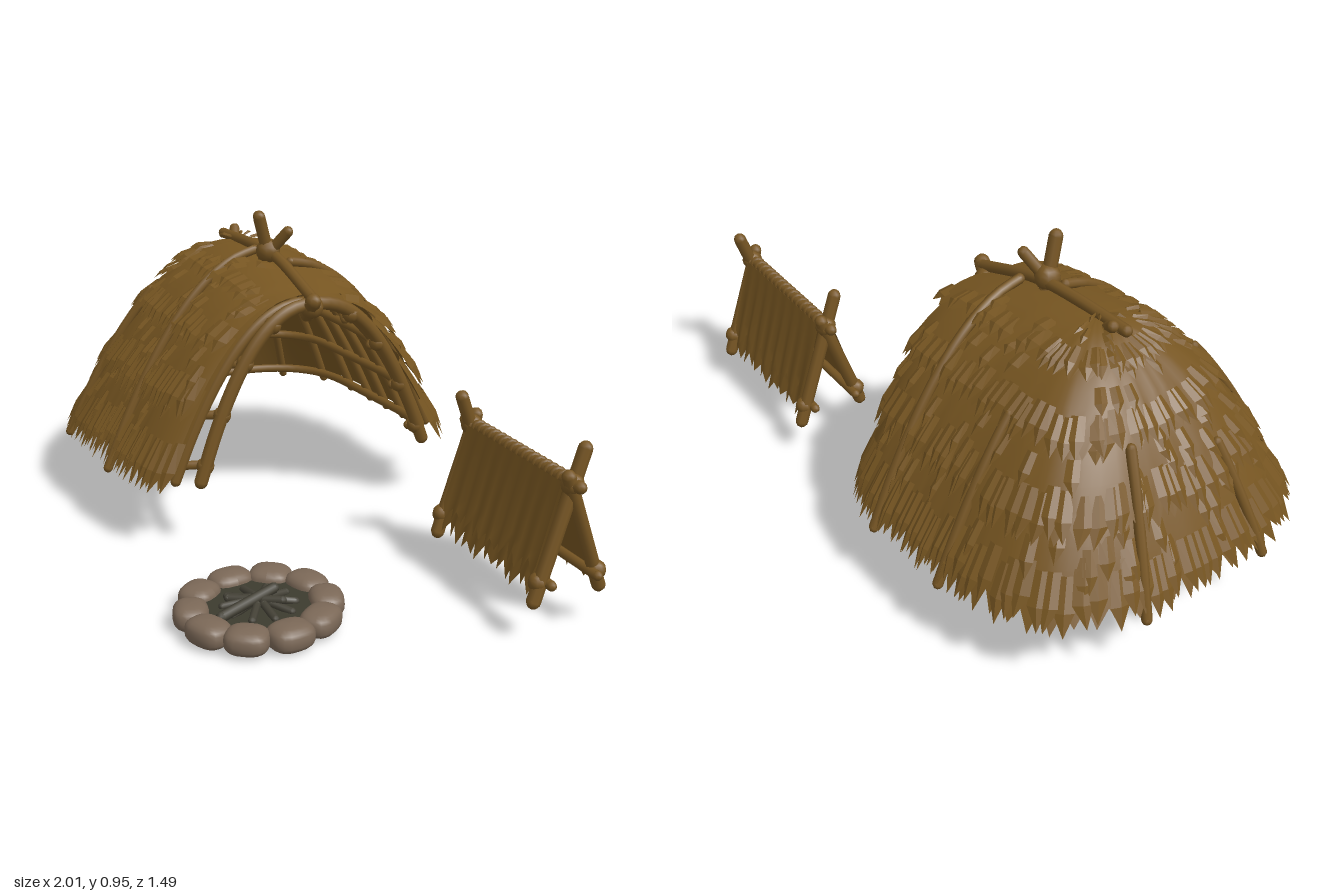
import * as THREE from 'three';
import { mergeGeometries } from 'three/addons/utils/BufferGeometryUtils.js';

const V = (x, y, z) => new THREE.Vector3(x, y, z);
const mat = (name, color, side = THREE.FrontSide) => {
  const m = new THREE.MeshStandardMaterial({ color, side });
  m.name = name;
  return m;
};

export function createModel() {
  const thatch = mat('thatch', 0x765521, THREE.DoubleSide);
  const wood = mat('wood', 0x765523);
  const stone = mat('stone', 0x7b6857);
  const ash = mat('ash', 0x3c3b2f);
  const charred = mat('charred wood', 0x444136);
  let seed = 7;
  const rnd = () => (seed = (seed * 16807) % 2147483647) / 2147483647;

  const add = (parent, name, geo, m) => {
    const mesh = new THREE.Mesh(geo, m);
    mesh.name = name;
    parent.add(mesh);
    return mesh;
  };
  const group = (parent, name) => {
    const g = new THREE.Group();
    g.name = name;
    parent.add(g);
    return g;
  };
  // Round pole along points, with closed ends
  const pole = (pts, r, segs = 24) => {
    const tube = new THREE.TubeGeometry(new THREE.CatmullRomCurve3(pts), pts.length > 2 ? segs : 1, r, 8);
    const ends = [pts[0], pts[pts.length - 1]].map(p =>
      new THREE.SphereGeometry(r, 8, 6).translate(p.x, p.y, p.z));
    return mergeGeometries([tube, ...ends]);
  };
  const knot = (p, r) => new THREE.SphereGeometry(r, 10, 8).translate(p.x, p.y, p.z);
  // Grid sheet bent by a rule f(a, b), a and b from 0 to 1
  const sheet = (cols, rows, f) => {
    const g = new THREE.PlaneGeometry(1, 1, cols, rows), p = g.attributes.position;
    for (let i = 0; i < p.count; i++) {
      const q = f(p.getX(i) + 0.5, 0.5 - p.getY(i), i % (cols + 1));
      p.setXYZ(i, q.x, q.y, q.z);
    }
    g.computeVertexNormals();
    return g;
  };

  const model = new THREE.Group();
  model.name = 'camp';

  // ---- Hut: ribs run from a ridge to a U-shaped footprint open at local +x
  const hut = group(model, 'hut');
  hut.position.set(-0.46, 0, -0.16);
  hut.rotation.y = -0.26;
  const raw = (u, rho) => {
    const v = Math.abs(u), s = Math.sign(u) || 1;
    let fx, fz, tx = -0.05, top = 0.8, bend = 1.9;
    if (v > 0.5) {
      // Straight flanks, turning inwards at the opening
      const k = (v - 0.5) * 2;
      fx = tx = -0.05 + 0.47 * k;
      fz = 0.51 - (s > 0 ? 0.13 : 0.09) * k ** 8;
      top -= 0.08 * k * k;
      bend += 0.4 * k * k;
    } else {
      const a = v * Math.PI, c = Math.cos(a), n = Math.sin(a);
      const r = Math.pow(c ** 3 + n ** 3, -1 / 3);
      fx = -0.05 - 0.43 * r * c;
      fz = 0.51 * r * n;
    }
    return V(tx + (fx - tx) * rho, 0.2 + (top - 0.2) * (1 - Math.abs(rho) ** bend), s * fz * rho);
  };
  const surf = (u, rho, off = 0) => {
    const q = Math.max(rho, 0.06), e = 0.01;
    const du = raw(u + e, q).sub(raw(u - e, q)), dr = raw(u, q + e).sub(raw(u, q - e));
    const n = du.cross(dr).normalize();
    if (n.y < 0) n.negate();
    return raw(u, rho).addScaledVector(n, off);
  };
  const span = a => -0.99 + 1.94 * a; // thatch stops short of the arch on the left

  add(hut, 'inner lining', sheet(60, 14, (a, b) => surf(span(a), b * 0.97, -0.01)), thatch);

  // Overlapping thatch tiers with ragged hems, then loose pointed tufts
  const tiers = [[0, 0.34], [0.27, 0.58], [0.5, 0.8], [0.72, 0.985]];
  const tufts = [];
  const tuft = (u, r0, r1, w, off) => {
    const rm = r0 + (r1 - r0) * 0.6, du = w / (0.35 + r1);
    const L0 = surf(u - du, r0, off - 0.016), R0 = surf(u + du, r0, off - 0.016), C0 = surf(u, r0, off - 0.01);
    const L1 = surf(u - du, rm, off - 0.003), R1 = surf(u + du, rm, off - 0.003), C1 = surf(u, rm, off + 0.004);
    const T = surf(u + (rnd() - 0.5) * du, r1, off + 0.002);
    for (const p of [L0, L1, C1, L0, C1, C0, C0, C1, R1, C0, R1, R0, L1, T, C1, C1, T, R1]) tufts.push(p.x, p.y, p.z);
  };
  tiers.forEach(([r0, r1], t) => {
    const cols = 60 + t * 20;
    const hem = Array.from({ length: cols + 1 }, (_, i) => (i % 2 ? 0.025 : -0.02) + (rnd() - 0.5) * 0.02);
    const wave = hem.map(() => (rnd() - 0.5) * 0.006);
    add(hut, 'thatch tier ' + (t + 1), sheet(cols, 5, (a, b, i) =>
      surf(span(a), r0 + (r1 - r0) * b + (b > 0.99 ? hem[i] : 0), 0.004 + 0.028 * b + wave[i] * b)), thatch);
    const count = Math.round(cols * 0.7);
    for (let i = 0; i < count; i++) {
      const u = span((i + rnd() * 0.8) / count), end = r1 + 0.005 + rnd() * 0.035;
      tuft(u, end - 0.13, end, 0.021, 0.036);
    }
    for (let i = 0; i < 22 + t * 6; i++) {
      const end = r0 + 0.1 + (r1 - r0 - 0.12) * rnd();
      tuft(span(0.01 + 0.98 * rnd()), Math.max(0.02, end - 0.1), end, 0.017, 0.032);
    }
  });
  const tuftGeo = new THREE.BufferGeometry();
  tuftGeo.setAttribute('position', new THREE.Float32BufferAttribute(tufts, 3));
  tuftGeo.computeVertexNormals();
  add(hut, 'thatch tufts', tuftGeo, thatch);

  // Inner lattice of ribs and hoops
  const rib = (u, r0, r1, off) => Array.from({ length: 9 }, (_, i) => surf(u, r0 + (r1 - r0) * i / 8, off));
  const hoops = [0.36, 0.6, 0.8, 0.95];
  for (let i = 0; i < 17; i++) {
    const u = -0.88 + 1.76 * i / 16;
    add(hut, 'inner rib', pole(rib(u, 0.04, 0.98, -0.028), 0.014, 14), wood);
  }
  for (const rho of hoops) {
    const pts = Array.from({ length: 33 }, (_, i) => surf(-1 + i / 16, rho, -0.045));
    add(hut, 'inner hoop', pole(pts, 0.014, 64), wood);
  }
  // Arch poles at the opening, with lashings
  for (const s of [-1, 1]) {
    add(hut, 'arch pole', pole(rib(s, 0, 0.99, -0.012), 0.021), wood);
    add(hut, 'arch inner pole', pole(rib(s * 0.95, 0.02, 0.99, -0.035), 0.017), wood);
    for (const rho of hoops) add(hut, 'lashing', knot(surf(s, rho, -0.02), 0.027), wood);
  }
  add(hut, 'arch tip', pole([V(0.36, 0.66, -0.02), V(0.465, 0.73, 0.02)], 0.024), wood);
  add(hut, 'lashing', knot(V(0.42, 0.7, 0), 0.036), wood);

  // Outer poles holding down the thatch, mostly buried at the rear
  for (const [u, start] of [[-0.8, 0.05], [0.67, 0.05], [-0.49, 0.55], [0.36, 0.5], [-0.12, 0.6], [0.13, 0.7]])
    add(hut, 'outer pole', pole(rib(u, start, 1.02, 0.026), 0.015), wood);
  add(hut, 'ridge pole', pole([V(-0.16, 0.81, 0), V(0.05, 0.815, 0), V(0.2, 0.805, 0), V(0.45, 0.73, 0.01)], 0.017), wood);
  [[V(0.16, 0.78, 0), V(0.175, 0.93, 0.045), 0.02], [V(0.15, 0.79, 0.02), V(0.22, 0.885, -0.03), 0.017],
    [V(-0.08, 0.78, 0), V(-0.14, 0.825, -0.03), 0.017]].forEach(([a, b, r]) => add(hut, 'pole tip', pole([a, b], r), wood));
  add(hut, 'apex lashing', knot(V(0.165, 0.82, 0.01), 0.038), wood);

  // ---- Lean-to rack with a ragged cover on both sides
  const rack = group(model, 'rack');
  rack.position.set(0.69, 0, -0.112);
  rack.rotation.y = -0.336;
  for (const x of [-0.25, 0.25]) {
    for (const s of [-1, 1]) {
      const up = s * x > 0;
      add(rack, 'rack leg', pole([V(x + s * 0.008, 0.115, s * 0.108),
        V(x - s * 0.008, up ? 0.515 : 0.45, -s * (up ? 0.04 : 0.018))], 0.02), wood);
      add(rack, 'leg lashing', knot(V(x, 0.165, s * 0.092), 0.027), wood);
    }
    add(rack, 'top lashing', knot(V(x, 0.425, 0), 0.032), wood);
  }
  add(rack, 'top beam', pole([V(-0.285, 0.428, 0), V(0.285, 0.428, 0)], 0.018), wood);
  for (const s of [-1, 1]) {
    add(rack, 'lower beam', pole([V(-0.285, 0.165, s * 0.072), V(0.285, 0.165, s * 0.072)], 0.014), wood);
    for (const layer of [0, 1]) {
      const cols = 26;
      const hem = Array.from({ length: cols + 1 }, (_, i) => (i % 2 ? 0.06 : -0.05) + (rnd() - 0.5) * 0.07);
      add(rack, 'rack cover', sheet(cols, 5, (a, b, i) => {
        const d = b * (layer ? 0.8 : 0.97) + (b > 0.99 ? hem[i] : 0);
        const ripple = 0.007 * Math.sin(i * 1.9 + layer) * b;
        return V((a - 0.5) * 0.47, 0.43 - 0.3 * d, s * (0.014 + 0.088 * d + layer * 0.009 + ripple));
      }), thatch);
    }
  }
  for (let i = 0; i < 16; i++) {
    const wrap = add(rack, 'beam wrapping', new THREE.TorusGeometry(0.016, 0.008, 6, 12), wood);
    wrap.position.set(-0.21 + 0.028 * i, 0.428, 0);
    wrap.rotation.y = Math.PI / 2 - 0.4;
  }

  // ---- Fire pit: ring of stones, ash bed and burnt sticks
  const pit = group(model, 'firePit');
  pit.position.set(0.305, 0, 0.502);
  for (let i = 0; i < 10; i++) {
    const a = (i + 0.1) / 10 * Math.PI * 2 + 0.2, g = new THREE.SphereGeometry(1, 18, 12), p = g.attributes.position;
    const soft = c => Math.sign(c) * Math.pow(Math.abs(c), 0.75);
    for (let j = 0; j < p.count; j++) p.setXYZ(j, soft(p.getX(j)), soft(p.getY(j)), soft(p.getZ(j)));
    g.scale(0.049 + rnd() * 0.006, 0.036 + rnd() * 0.002, 0.06 + rnd() * 0.008);
    g.computeVertexNormals();
    const s = add(pit, 'ring stone', g, stone);
    s.position.set(Math.cos(a) * 0.18, 0.037, Math.sin(a) * 0.189);
    s.rotation.y = -a + (rnd() - 0.5) * 0.25;
  }
  add(pit, 'ash bed', new THREE.CylinderGeometry(0.16, 0.17, 0.03, 28).translate(0, 0.03, 0), ash);
  for (let i = 0; i < 10; i++) {
    const a = i / 10 * Math.PI * 2 + 0.3, c = Math.cos(a), s = Math.sin(a);
    add(pit, 'burnt stick', pole([V(c * 0.03, 0.06, s * 0.03), V(c * 0.1, 0.048, s * 0.1)], 0.011), charred);
  }
  add(pit, 'burnt log', pole([V(0.005, 0.06, 0.14), V(0.005, 0.08, -0.05)], 0.015), charred);
  add(pit, 'crossed log', pole([V(-0.07, 0.058, 0.05), V(0.06, 0.07, -0.03)], 0.012), charred);

  return model;
}
